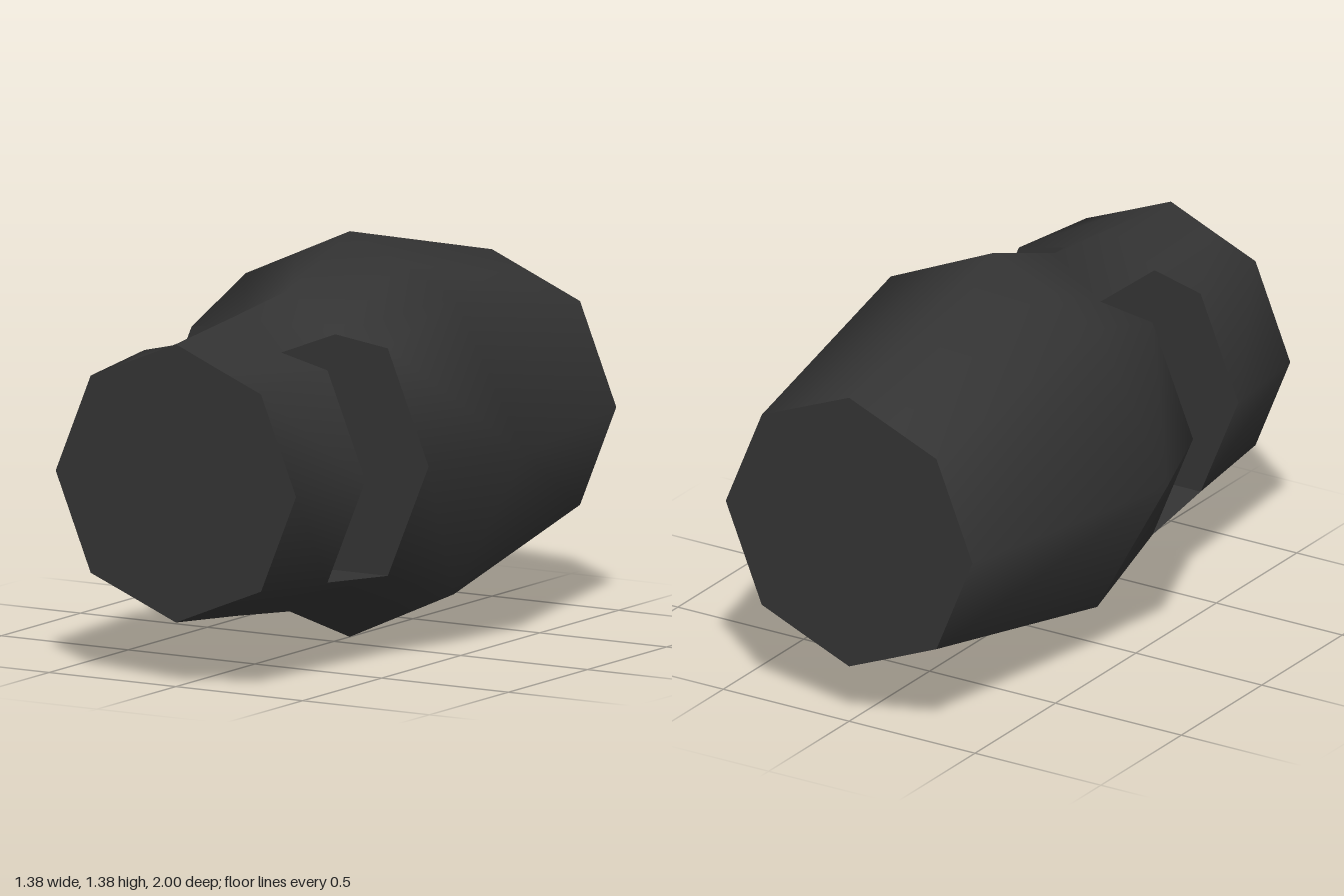
import * as THREE from 'three';

// Cross-sections, back to front. Each lists the +x half from bottom to top:
// keel, lower panel, lower corner, side, upper corner, upper panel, ridge.
const SECTIONS = [
  { z: -1, half: [[0, 0.2], [0.175, 0.272], [0.347, 0.344], [0.49, 0.69], [0.347, 1.037], [0.175, 1.108], [0, 1.18]] },
  { z: -0.1, half: [[0, 0], [0.205, 0.092], [0.41, 0.184], [0.69, 0.69], [0.41, 1.198], [0.205, 1.289], [0, 1.38]] },
  { z: 0.28, half: [[0, 0.145], [0.19, 0.24], [0.387, 0.303], [0.548, 0.69], [0.387, 1.077], [0.18, 1.105], [0, 1.24]] },
  { z: 0.62, half: [[0, 0.182], [0.18, 0.256], [0.361, 0.33], [0.511, 0.69], [0.361, 1.052], [0.178, 1.095], [0, 1.203]] },
  { z: 1, half: [[0, 0.218], [0.168, 0.287], [0.336, 0.355], [0.474, 0.69], [0.336, 1.026], [0.168, 1.095], [0, 1.165]] },
];
const SIDES = 12;
const OPEN = [2, 3, 4, 7, 8, 9]; // panels left out to form the side windows

// Full counter-clockwise ring made by mirroring the half section
const rings = SECTIONS.map(({ z, half }) => {
  const mirrored = half.slice(1, 6).reverse().map(([x, y]) => [-x, y]);
  return [...half, ...mirrored].map(([x, y]) => [x, y, z]);
});

function makeGeometry(points, index) {
  const g = new THREE.BufferGeometry();
  g.setAttribute('position', new THREE.Float32BufferAttribute(points.flat(), 3));
  g.setIndex(index);
  g.computeVertexNormals();
  return g;
}

// Smooth outer skin, open at the windows
function skin() {
  const index = [];
  for (let i = 0; i < rings.length - 1; i++) {
    for (let j = 0; j < SIDES; j++) {
      if (i === 2 && OPEN.includes(j)) continue;
      const k = (j + 1) % SIDES;
      const a = i * SIDES + j, b = i * SIDES + k, c = b + SIDES, d = a + SIDES;
      // mirror the diagonals so both halves shade alike
      if (j < 6) index.push(a, b, c, a, c, d);
      else index.push(a, b, d, b, c, d);
    }
  }
  return makeGeometry(rings.flat(), index);
}

// Flat wall closing one ring
function cap(ring, facesFront) {
  const index = [];
  for (let j = 0; j < SIDES; j++) {
    const k = (j + 1) % SIDES;
    index.push(SIDES, ...(facesFront ? [j, k] : [k, j]));
  }
  return makeGeometry([...ring, [0, 0.69, ring[0][2]]], index);
}

// Flat panel across the windows, between mirrored ring points
function panel(right, left, facesUp) {
  const [back, front] = [rings[2], rings[3]];
  const points = [back[left], front[left], front[right], back[right]];
  return makeGeometry(points, facesUp ? [0, 1, 2, 0, 2, 3] : [0, 2, 1, 0, 3, 2]);
}

export function createModel() {
  const group = new THREE.Group();
  group.name = 'slottedHousing';
  const charcoal = new THREE.MeshStandardMaterial({ color: 0x333333 });
  charcoal.name = 'charcoal';

  const add = (name, geometry) => {
    const mesh = new THREE.Mesh(geometry, charcoal);
    mesh.name = name;
    group.add(mesh);
  };

  add('outerShell', skin());
  add('rearEnd', cap(rings[0], false));
  add('windowRearWall', cap(rings[2], true));
  add('windowFrontWall', cap(rings[3], false));
  add('frontEnd', cap(rings[4], true));
  add('windowFloor', panel(2, 10, true));
  add('windowCeiling', panel(5, 7, false));
  return group;
}
